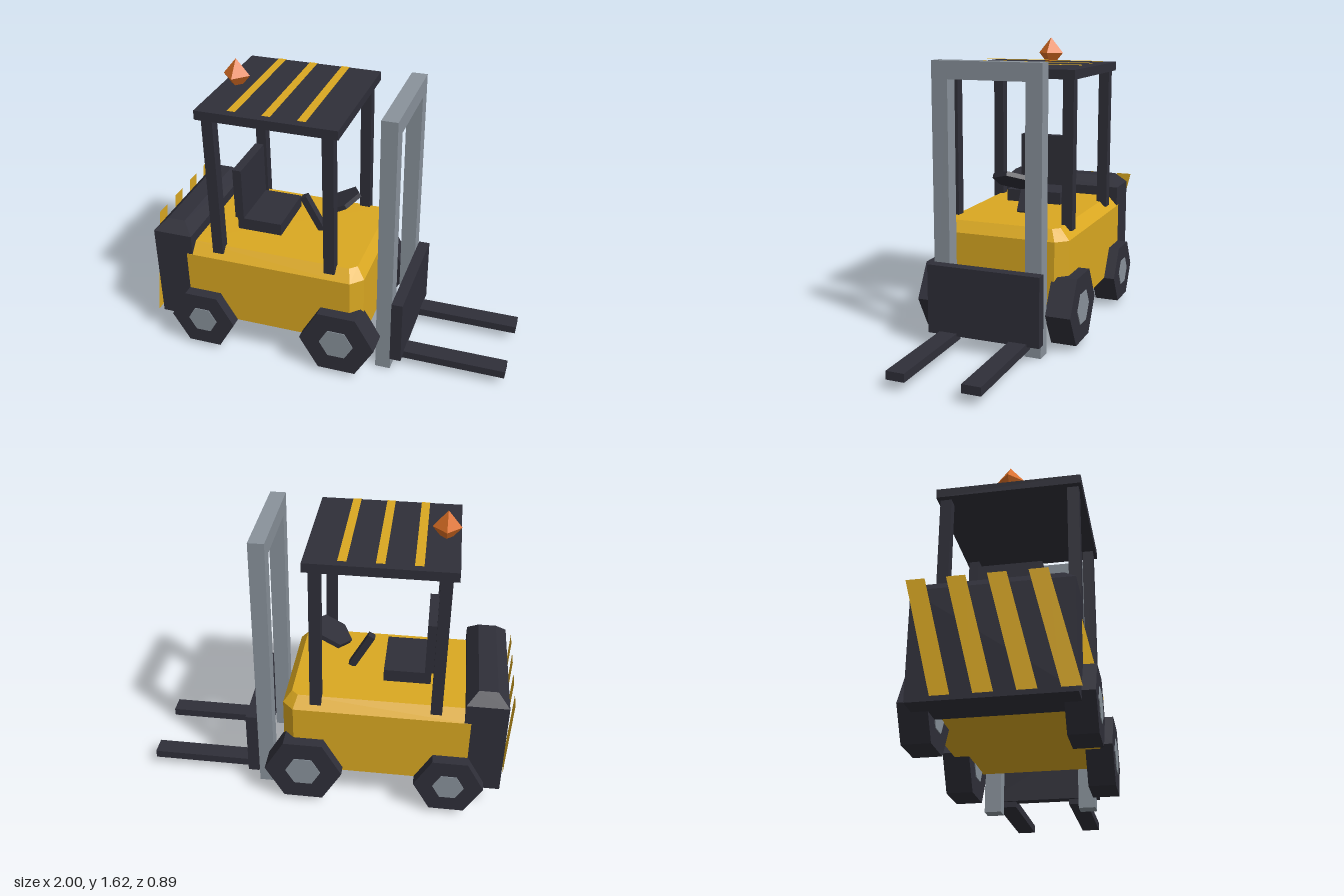
import * as THREE from 'three';
import { ConvexGeometry } from 'three/addons/geometries/ConvexGeometry.js';

const paint = (name, color, side = THREE.FrontSide) =>
  new THREE.MeshStandardMaterial({ name, color, side, flatShading: true });

export function createModel() {
  const yellow = paint('yellow paint', 0xdaa821, THREE.DoubleSide);
  const dark = paint('dark metal', 0x2f2f39);
  const grey = paint('grey steel', 0x89929b);
  const orange = paint('orange lens', 0xdc6f24);

  const model = new THREE.Group();
  model.name = 'forklift';

  const add = (name, geometry, material) => {
    const mesh = new THREE.Mesh(geometry, material);
    mesh.name = name;
    model.add(mesh);
    return mesh;
  };
  // Box given by its lower and upper limits on each axis
  const box = (name, material, [x0, x1], [y0, y1], [z0, z1]) =>
    add(name, new THREE.BoxGeometry(x1 - x0, y1 - y0, z1 - z0), material)
      .position.set((x0 + x1) / 2, (y0 + y1) / 2, (z0 + z1) / 2);
  // Convex solid from horizontal rings: [height, [[x, z], ...]] mirrored in z
  const rings = (name, material, list) => {
    const points = list.flatMap(([y, half]) => half.flatMap(([x, z]) =>
      [new THREE.Vector3(x, y, z), new THREE.Vector3(x, y, -z)]));
    return add(name, new ConvexGeometry(points), material);
  };
  // Six-sided disc with its axis along y and corners on the x axis
  const hex = (r, h) => new THREE.CylinderGeometry(r, r, h, 6).rotateY(Math.PI / 2);

  // Body with chamfered front corners and top edge
  const outline = [[-0.79, 0.381], [0.155, 0.381], [0.217, 0.32]];
  rings('body', yellow, [
    [0.195, outline],
    [0.59, outline],
    [0.65, [[-0.79, 0.325], [0.135, 0.325], [0.172, 0.29]]],
  ]);

  // Counterweight with a bevelled top
  const block = [[-0.978, 0.38], [-0.755, 0.38]];
  rings('counterweight', dark, [
    [0.155, block],
    [0.705, block],
    [0.765, [[-0.915, 0.32], [-0.815, 0.32]]],
  ]);

  // Slanted warning stripes behind the counterweight
  for (const z of [-0.285, -0.095, 0.095, 0.285]) {
    const stripe = new THREE.PlaneGeometry(0.09, 0.58).rotateY(-Math.PI / 2);
    const p = stripe.attributes.position;
    for (let i = 0; i < p.count; i++) p.setZ(i, p.getZ(i) - p.getY(i) * 0.24);
    add('rearStripe', stripe, yellow).position.set(-0.999, 0.46, z);
  }

  // Overhead guard: posts, roof and roof stripes
  for (const s of [-1, 1]) {
    for (const x of [-0.605, 0.035]) {
      box('roofPost', dark, [x - 0.03, x + 0.03], [0.62, 1.435], [s * 0.335 - 0.03, s * 0.335 + 0.03]);
    }
  }
  box('roof', dark, [-0.665, 0.095], [1.43, 1.48], [-0.38, 0.38]);
  for (const x of [-0.47, -0.285, -0.1]) {
    add('roofStripe', new THREE.PlaneGeometry(0.045, 0.715).rotateX(-Math.PI / 2), yellow)
      .position.set(x, 1.493, 0);
  }

  // Warning beacon
  const beacon = add('beacon', new THREE.OctahedronGeometry(1), orange);
  beacon.scale.set(0.075, 0.09, 0.075);
  beacon.position.set(-0.59, 1.53, 0);

  // Seat
  box('seatCushion', dark, [-0.565, -0.31], [0.67, 0.74], [-0.165, 0.165]);
  box('seatBack', dark, [-0.58, -0.53], [0.74, 1.04], [-0.165, 0.165]);

  // Steering column and wheel
  const column = add('steeringColumn', new THREE.BoxGeometry(0.04, 0.225, 0.045), dark);
  column.position.set(-0.175, 0.75, 0);
  column.rotation.z = 0.5;
  const steering = add('steeringWheel', hex(0.12, 0.026), dark);
  steering.position.set(-0.008, 0.857, 0);
  steering.rotation.z = 0.5;

  // Mast, carriage and forks
  for (const s of [-1, 1]) {
    box('mastRail', grey, [0.285, 0.37], [0, 1.53], [s * 0.26 - 0.045, s * 0.26 + 0.045]);
    box('fork', dark, [0.385, 1], [0.05, 0.095], [s * 0.2 - 0.05, s * 0.2 + 0.05]);
  }
  box('mastCrossbar', grey, [0.285, 0.37], [1.435, 1.53], [-0.215, 0.215]);
  box('carriage', dark, [0.37, 0.432], [0.08, 0.46], [-0.318, 0.318]);

  // Wheels with hubs: [x, y, tyre radius, hub radius]
  for (const [x, y, tyre, hub] of [[-0.698, 0.195, 0.189, 0.085], [0.097, 0.215, 0.213, 0.097]]) {
    for (const z of [-0.373, 0.373]) {
      add('tyre', hex(tyre, 0.14).rotateX(Math.PI / 2), dark).position.set(x, y, z);
      add('hub', hex(hub, 0.148).rotateX(Math.PI / 2), grey).position.set(x, y, z);
    }
  }

  return model;
}
